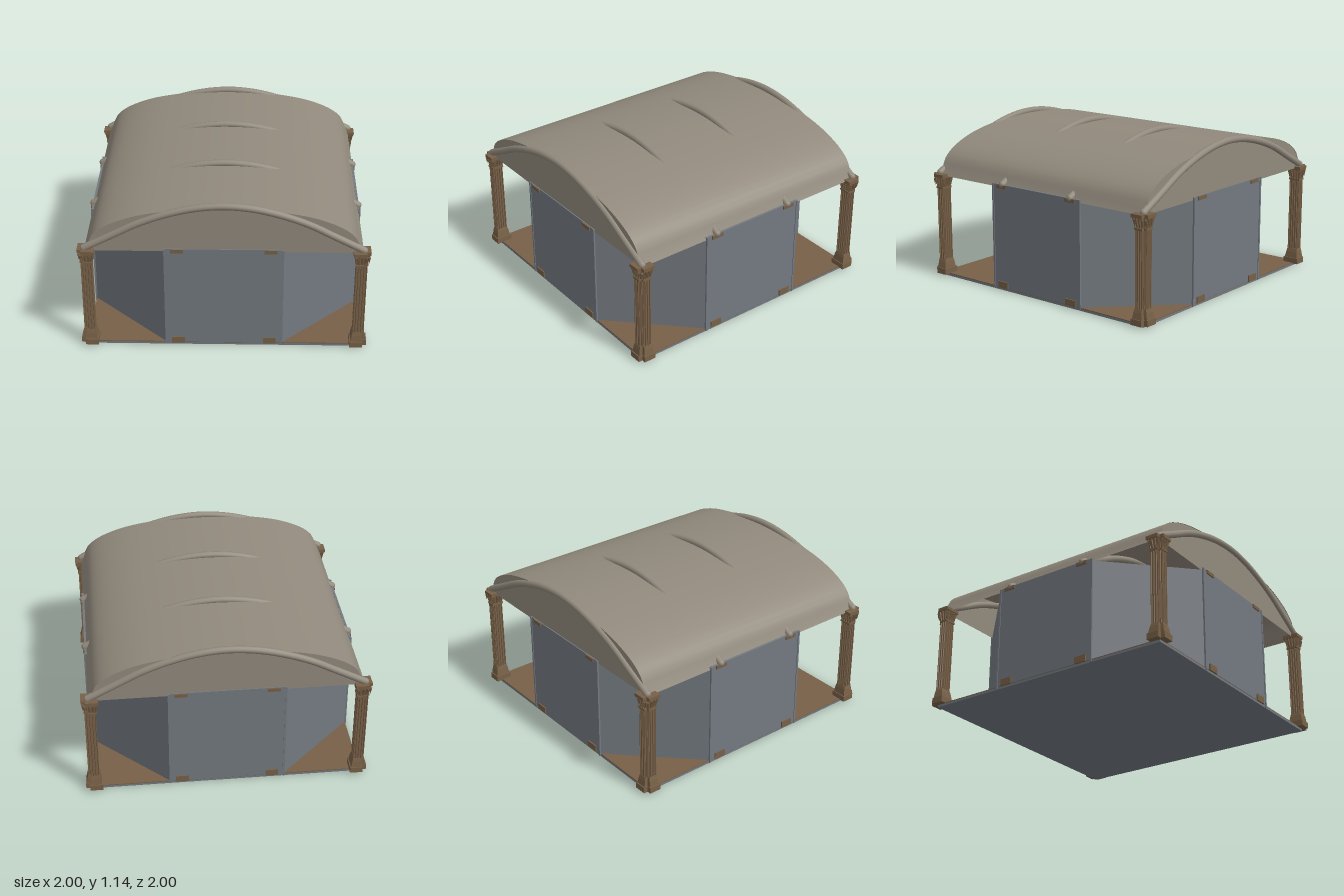
import * as THREE from 'three';

const mat = (name, color, side = THREE.FrontSide) =>
  Object.assign(new THREE.MeshStandardMaterial({ color, side }), { name });

export function createModel() {
  const root = new THREE.Group();
  root.name = 'pavilion';
  const wallGrey = mat('wallGrey', 0x737980);
  const roofTan = mat('roofTan', 0x91897c, THREE.DoubleSide);
  const brown = mat('brown', 0x776047);

  const add = (parent, name, geo, material, x = 0, y = 0, z = 0) => {
    const m = new THREE.Mesh(geo, material);
    m.name = name;
    m.position.set(x, y, z);
    parent.add(m);
    return m;
  };
  const box = (parent, name, w, h, d, material, x, y, z) =>
    add(parent, name, new THREE.BoxGeometry(w, h, d), material, x, y, z);

  // Floor slab with a brown deck on top
  box(root, 'floorSlab', 1.91, 0.016, 1.91, wallGrey, 0, 0.008, 0);
  box(root, 'floorDeck', 1.91, 0.006, 1.91, brown, 0, 0.019, 0);

  // Four straight walls, each with the diagonal wall to its left
  for (let i = 0; i < 4; i++) {
    const side = new THREE.Group();
    side.name = 'wallSide';
    side.rotation.y = (i * Math.PI) / 2;
    root.add(side);
    box(side, 'straightWall', 0.8, 0.76, 0.016, wallGrey, 0, 0.4, 0.95);
    for (const s of [-1, 1]) {
      box(side, 'wallPost', 0.014, 0.775, 0.026, wallGrey, s * 0.404, 0.392, 0.95);
      box(side, 'lowerBracket', 0.09, 0.048, 0.034, brown, s * 0.32, 0.041, 0.95);
      box(side, 'upperBracket', 0.09, 0.026, 0.034, brown, s * 0.32, 0.766, 0.95);
    }
    const diagonal = box(side, 'diagonalWall', 0.77, 0.745, 0.016, wallGrey, 0.675, 0.392, 0.675);
    diagonal.rotation.y = Math.PI / 4;
  }

  // Barrel roof: a sheet bent over the half profile, mirrored in x
  const half = [[0.952, 0.76], [0.925, 0.81], [0.9, 0.87], [0.865, 0.91], [0.8, 0.955],
    [0.7, 1.0], [0.58, 1.037], [0.4, 1.07], [0.2, 1.092], [0, 1.1]];
  const arch = (pts) => new THREE.CatmullRomCurve3([
    ...pts.map(([x, y]) => new THREE.Vector3(-x, y, 0)),
    ...pts.slice(0, -1).reverse().map(([x, y]) => new THREE.Vector3(x, y, 0)),
  ], false, 'centripetal');
  const N = 48;
  const profile = arch(half).getSpacedPoints(N);
  const roof = new THREE.PlaneGeometry(1, 1, N, 1);
  const pos = roof.attributes.position;
  for (let i = 0; i < pos.count; i++) {
    const p = profile[i % (N + 1)];
    pos.setXYZ(i, p.x, p.y, i <= N ? -0.955 : 0.955);
  }
  roof.computeVertexNormals();
  add(root, 'roof', roof, roofTan);

  // Gable infill at both ends
  const gable = new THREE.ShapeGeometry(new THREE.Shape(profile.map((p) => new THREE.Vector2(p.x, p.y))));
  add(root, 'frontGable', gable, roofTan, 0, 0, 0.95);
  add(root, 'backGable', gable, roofTan, 0, 0, -0.95).rotation.y = Math.PI;

  // Arched ribs that rise through the roof near its crown
  const rib = new THREE.TubeGeometry(
    arch([[0.952, 0.782], [0.75, 0.887], [0.58, 0.975], [0.4, 1.043], [0.2, 1.093], [0, 1.111]]),
    48, 0.025, 12);
  const knob = new THREE.SphereGeometry(0.025, 12, 8);
  for (const z of [-0.95, -0.318, 0.318, 0.95]) {
    add(root, 'roofRib', rib, roofTan, 0, 0, z);
    for (const s of [-1, 1]) add(root, 'ribEnd', knob, roofTan, s * 0.952, 0.782, z);
  }

  // Corner column section: a square with its outer corner notched, optionally fluted
  const section = (r, fluted) => {
    const n = r * 0.5;
    const corners = [[-r, -r], [r, -r], [r, r - n], [r - n, r - n], [r - n, r], [-r, r]];
    const pts = [];
    corners.forEach(([x, y], i) => {
      const [nx, ny] = corners[(i + 1) % corners.length];
      const len = Math.hypot(nx - x, ny - y);
      const count = fluted ? Math.round(len / 0.02) : 0;
      pts.push(new THREE.Vector2(x, y));
      const dx = (nx - x) / len, dy = (ny - y) / len;
      for (let k = 0; k < count; k++) {
        const c = ((k + 0.5) * len) / count;
        for (const [o, d] of [[-0.005, 0], [-0.002, 0.007], [0.002, 0.007], [0.005, 0]])
          pts.push(new THREE.Vector2(x + dx * (c + o) - dy * d, y + dy * (c + o) + dx * d));
      }
    });
    return new THREE.Shape(pts);
  };
  const block = (r, y0, y1, topScale = 1, fluted = false) => {
    const g = new THREE.ExtrudeGeometry(section(r, fluted), { depth: y1 - y0, bevelEnabled: false });
    const p = g.attributes.position;
    for (let i = 0; i < p.count; i++)
      if (p.getZ(i) > (y1 - y0) / 2) p.setXY(i, p.getX(i) * topScale, p.getY(i) * topScale);
    g.rotateX(-Math.PI / 2);
    g.translate(0, y0, 0);
    g.computeVertexNormals();
    return g;
  };
  const parts = [
    ['columnPlinth', block(0.06, 0.017, 0.06)],
    ['columnBase', block(0.053, 0.06, 0.105, 0.86)],
    ['columnBaseRing', block(0.046, 0.105, 0.13, 0.86)],
    ['columnShaft', block(0.039, 0.12, 0.69, 1, true)],
    ['columnCollar', block(0.044, 0.665, 0.68)],
    ['columnCapital', block(0.04, 0.68, 0.75, 1.35, true)],
    ['columnTop', block(0.06, 0.75, 0.775)],
  ];
  // The notch faces +x, -z before turning
  for (let i = 0; i < 4; i++) {
    const column = new THREE.Group();
    column.name = 'cornerColumn';
    const turn = (i * Math.PI) / 2;
    column.rotation.y = turn;
    column.position.set(0.94, 0, -0.94).applyAxisAngle(new THREE.Vector3(0, 1, 0), turn);
    for (const [name, geo] of parts) add(column, name, geo, brown);
    // Leaf tips around the capital
    for (let k = 0; k < 4; k++)
      for (const o of [-0.035, 0, 0.025]) {
        const a = (k * Math.PI) / 2;
        const leaf = add(column, 'capitalLeaf', new THREE.ConeGeometry(0.011, 0.05, 5), brown,
          Math.cos(a) * 0.046 + Math.sin(a) * o, 0.715, Math.sin(a) * 0.046 - Math.cos(a) * o);
        leaf.rotation.set(Math.PI, 0, 0);
      }
    root.add(column);
  }
  return root;
}
